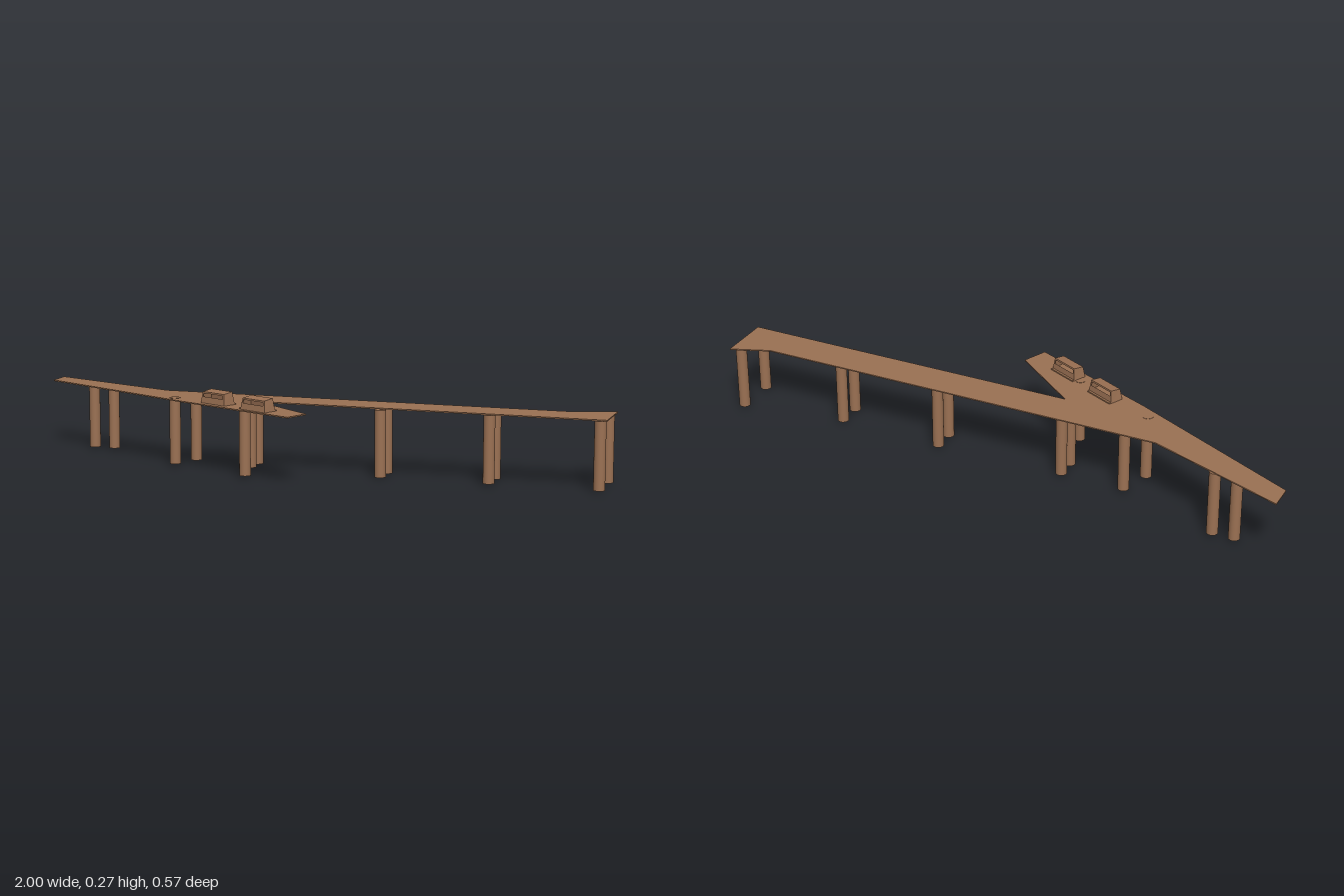
import * as THREE from 'three';

const brown = new THREE.MeshStandardMaterial({ color: 0x9b7153 });
brown.name = 'brown';
const brownThin = brown;
brownThin.side = THREE.DoubleSide;

const DECK_TOP = 0.23;

function add(parent, name, geometry, x = 0, y = 0, z = 0) {
  const mesh = new THREE.Mesh(geometry, brown);
  mesh.name = name;
  mesh.position.set(x, y, z);
  parent.add(mesh);
  return mesh;
}

// Deck outline as [x, z]: long straight arm plus a diagonal arm
const outline = [
  [-1, -0.2], [-0.41, 0.09], [0.035, 0.286], [0.07, 0.205], [-0.165, 0.02],
  [1, 0.02], [1, -0.16], [0.87, -0.11], [-0.535, -0.11], [-1, -0.286],
];

// Piers as [x, z, foot height]
const piers = [
  [0.977, 0.011, 0.004], [0.977, -0.125, 0.004],
  [0.62, 0.011, 0.004], [0.62, -0.07, 0.004],
  [0.255, 0.001, 0], [0.255, -0.073, 0],
  [-0.192, 0.001, 0.006], [-0.192, -0.066, 0.006],
  [-0.155, 0.158, 0.009],
  [-0.448, 0.034, 0.009], [-0.412, -0.066, 0.006],
  [-0.838, -0.186, 0.006], [-0.765, -0.186, 0.006],
];

// Flat four-sided panels, each given by its corners counter-clockwise
function panels(quads) {
  const positions = [];
  for (const [a, b, c, d] of quads) positions.push(...a, ...b, ...c, ...a, ...c, ...d);
  const geometry = new THREE.BufferGeometry();
  geometry.setAttribute('position', new THREE.Float32BufferAttribute(positions, 3));
  geometry.computeVertexNormals();
  return geometry;
}

// Hollow hut with leaning walls and a long slot window on both sides
function makeCabin() {
  const cabin = new THREE.Group();
  cabin.name = 'cabin';
  // s along the length, w across the width, t up the wall
  const point = (s, w, t) => [
    s * (0.055 - 0.006 * t),
    t * (0.0395 - 0.0025 * w),
    w * (0.024 - 0.005 * t),
  ];
  const side = (w, s0, s1, t0, t1) => {
    const q = [point(s0, w, t0), point(s1, w, t0), point(s1, w, t1), point(s0, w, t1)];
    return w > 0 ? q : q.reverse();
  };
  for (const w of [1, -1]) {
    add(cabin, w > 0 ? 'frontWall' : 'backWall', panels([
      side(w, -1, 1, 0, 0.56),
      side(w, -1, 1, 0.86, 1),
      side(w, -1, -0.88, 0.56, 0.86),
      side(w, 0.88, 1, 0.56, 0.86),
    ]));
  }
  add(cabin, 'endWalls', panels([
    [point(1, 1, 0), point(1, -1, 0), point(1, -1, 1), point(1, 1, 1)],
    [point(-1, -1, 0), point(-1, 1, 0), point(-1, 1, 1), point(-1, -1, 1)],
  ]));
  add(cabin, 'roof', panels([
    [point(-1, 1, 1), point(1, 1, 1), point(1, -1, 1), point(-1, -1, 1)],
  ]));
  add(cabin, 'floor', new THREE.BoxGeometry(0.108, 0.004, 0.054), 0, 0.002, -0.004);
  return cabin;
}

export function createModel() {
  const model = new THREE.Group();
  model.name = 'pier';

  const shape = new THREE.Shape(outline.map(([x, z]) => new THREE.Vector2(x, -z)));
  const deck = new THREE.ExtrudeGeometry(shape, { depth: 0.004, bevelEnabled: false });
  deck.rotateX(-Math.PI / 2);
  add(model, 'deck', deck, 0, DECK_TOP - 0.004, 0);

  const pile = new THREE.CylinderGeometry(0.0188, 0.0188, 0.222, 24);
  for (const [x, z, foot] of piers) add(model, 'pile', pile, x, foot + 0.111, z);

  // Two huts in line with the diagonal arm
  for (const [x, z] of [[-0.27, 0.102], [-0.1, 0.187]]) {
    const cabin = makeCabin();
    cabin.position.set(x, DECK_TOP, z);
    cabin.rotation.y = -0.436;
    model.add(cabin);
  }
  return model;
}
